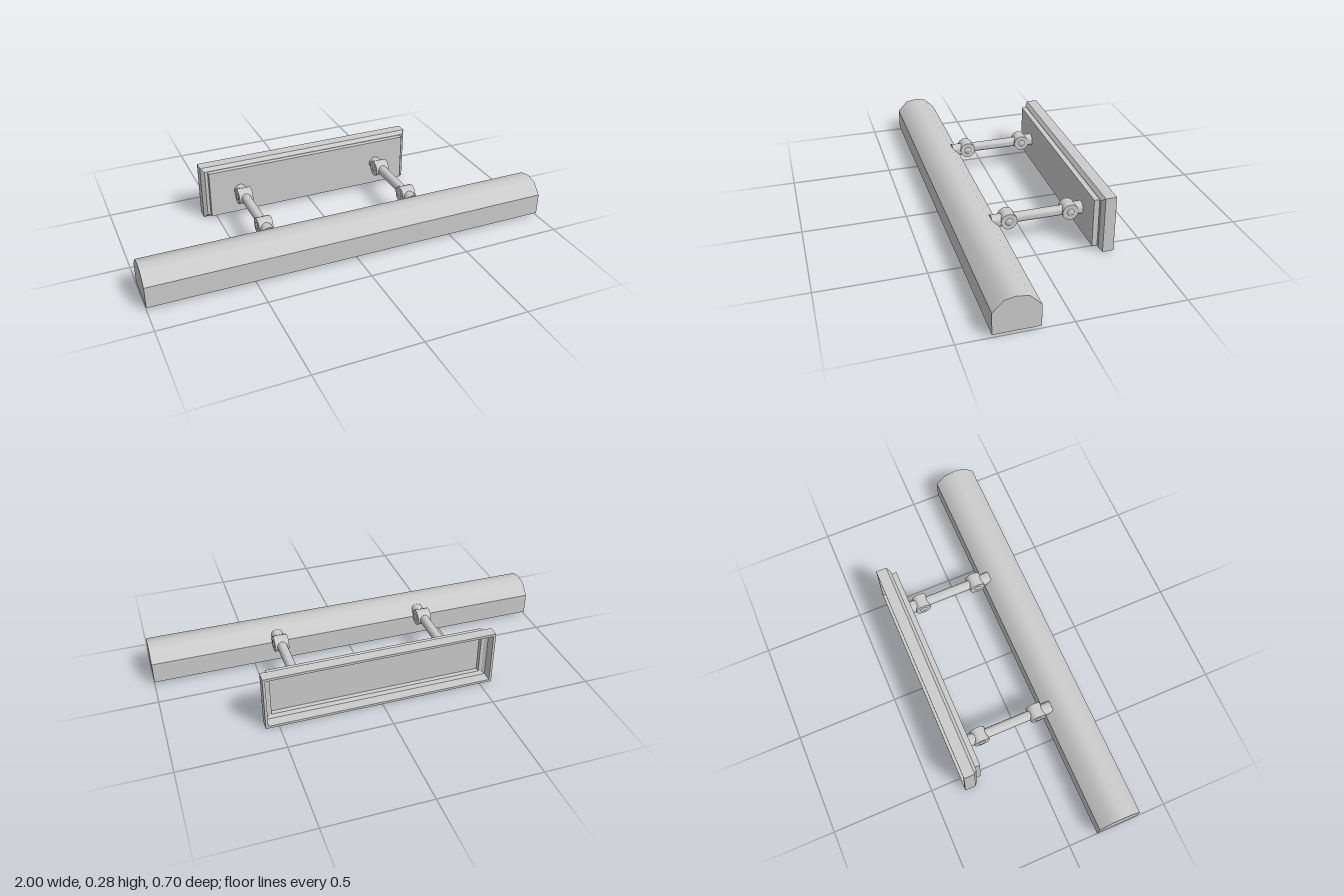
import * as THREE from 'three';
import { toCreasedNormals } from 'three/addons/utils/BufferGeometryUtils.js';

const material = new THREE.MeshStandardMaterial({ color: 0xcccccc });

function add(parent, name, geometry) {
  const mesh = new THREE.Mesh(geometry, material);
  mesh.name = name;
  parent.add(mesh);
  return mesh;
}

// Cylinder between two points
function rod(parent, name, from, to, radius, sides = 24) {
  const a = new THREE.Vector3(...from), b = new THREE.Vector3(...to);
  const dir = b.clone().sub(a);
  const mesh = add(parent, name, toCreasedNormals(new THREE.CylinderGeometry(radius, radius, dir.length(), sides), 0.7));
  mesh.position.copy(a).add(b).multiplyScalar(0.5);
  mesh.quaternion.setFromUnitVectors(new THREE.Vector3(0, 1, 0), dir.normalize());
  return mesh;
}

// Extrude a (z, y) profile along x, centred on x = 0
function extrudeX(points, length) {
  const shape = new THREE.Shape(points.map(([z, y]) => new THREE.Vector2(-z, y)));
  const geometry = new THREE.ExtrudeGeometry(shape, { depth: length, bevelEnabled: false });
  geometry.translate(0, 0, -length / 2).rotateY(Math.PI / 2);
  return toCreasedNormals(geometry, 0.7);
}

// Faceted skin through rectangular rings [half width, half height, z], first and last ring closed
function rectLoft(rings) {
  const positions = [], index = [];
  for (const [w, h, z] of rings) positions.push(w, h, z, -w, h, z, -w, -h, z, w, -h, z);
  for (let r = 0; r < rings.length - 1; r++) {
    for (let i = 0; i < 4; i++) {
      const a = r * 4 + i, b = r * 4 + (i + 1) % 4;
      index.push(a, a + 4, b, b, a + 4, b + 4);
    }
  }
  const e = (rings.length - 1) * 4;
  index.push(0, 1, 2, 0, 2, 3, e, e + 2, e + 1, e, e + 3, e + 2);
  const geometry = new THREE.BufferGeometry();
  geometry.setAttribute('position', new THREE.Float32BufferAttribute(positions, 3));
  geometry.setIndex(index);
  const flat = geometry.toNonIndexed();
  flat.computeVertexNormals();
  return flat;
}

export function createModel() {
  const model = new THREE.Group();
  model.name = 'pictureLight';

  // Long shade, open below, closed by two end caps
  const shade = new THREE.Group();
  shade.name = 'shade';
  model.add(shade);
  const outer = [[0.35, 0.015], [0.35, 0.12], [0.3, 0.172], [0.247, 0.182], [0.194, 0.172], [0.143, 0.12], [0.143, 0.015]];
  const inner = [[0.151, 0.015], [0.151, 0.117], [0.198, 0.164], [0.247, 0.174], [0.296, 0.164], [0.342, 0.117], [0.342, 0.015]];
  add(shade, 'shadeShell', extrudeX([...outer, ...inner], 1.984));
  for (const s of [-1, 1]) add(shade, 'endCap', extrudeX(outer, 0.008)).position.x = s * 0.996;
  rod(shade, 'lampTube', [-0.97, 0.065, 0.247], [0.97, 0.065, 0.247], 0.028);
  for (const s of [-1, 1]) rod(shade, 'lampHolder', [s * 0.965, 0.065, 0.247], [s * 0.994, 0.065, 0.247], 0.015, 16);

  // Stepped wall plate, hollow at the back
  const plate = add(model, 'wallPlate', rectLoft([
    [0.53, 0.12, -0.257], [0.53, 0.12, -0.282], [0.545, 0.122, -0.282], [0.563, 0.139, -0.297], [0.563, 0.139, -0.35],
    [0.551, 0.127, -0.35], [0.551, 0.127, -0.299], [0.535, 0.112, -0.29], [0.52, 0.11, -0.29], [0.52, 0.11, -0.267],
  ]));
  plate.position.y = 0.141;

  // Two arms with a swivel joint at each end
  for (const x of [-0.375, 0.375]) {
    const arm = new THREE.Group();
    arm.name = 'arm';
    arm.position.set(x, 0.141, 0);
    model.add(arm);
    rod(arm, 'armRod', [0, 0, 0.1], [0, 0, -0.195], 0.024);
    rod(arm, 'plateMount', [0, 0, -0.195], [0, 0, -0.262], 0.031);
    rod(arm, 'shadeMount', [0, -0.006, 0.1], [0, -0.002, 0.18], 0.03);
    for (const z of [0.1, -0.195]) {
      rod(arm, 'swivelJoint', [-0.035, 0, z], [0.035, 0, z], 0.039, 14);
      // Small domed pin heads
      for (const s of [-1, 1]) {
        const pin = add(arm, 'pinHead', new THREE.SphereGeometry(0.018, 16, 10));
        pin.position.set(s * 0.034, 0, z);
        pin.scale.x = 0.35;
      }
    }
  }
  return model;
}
